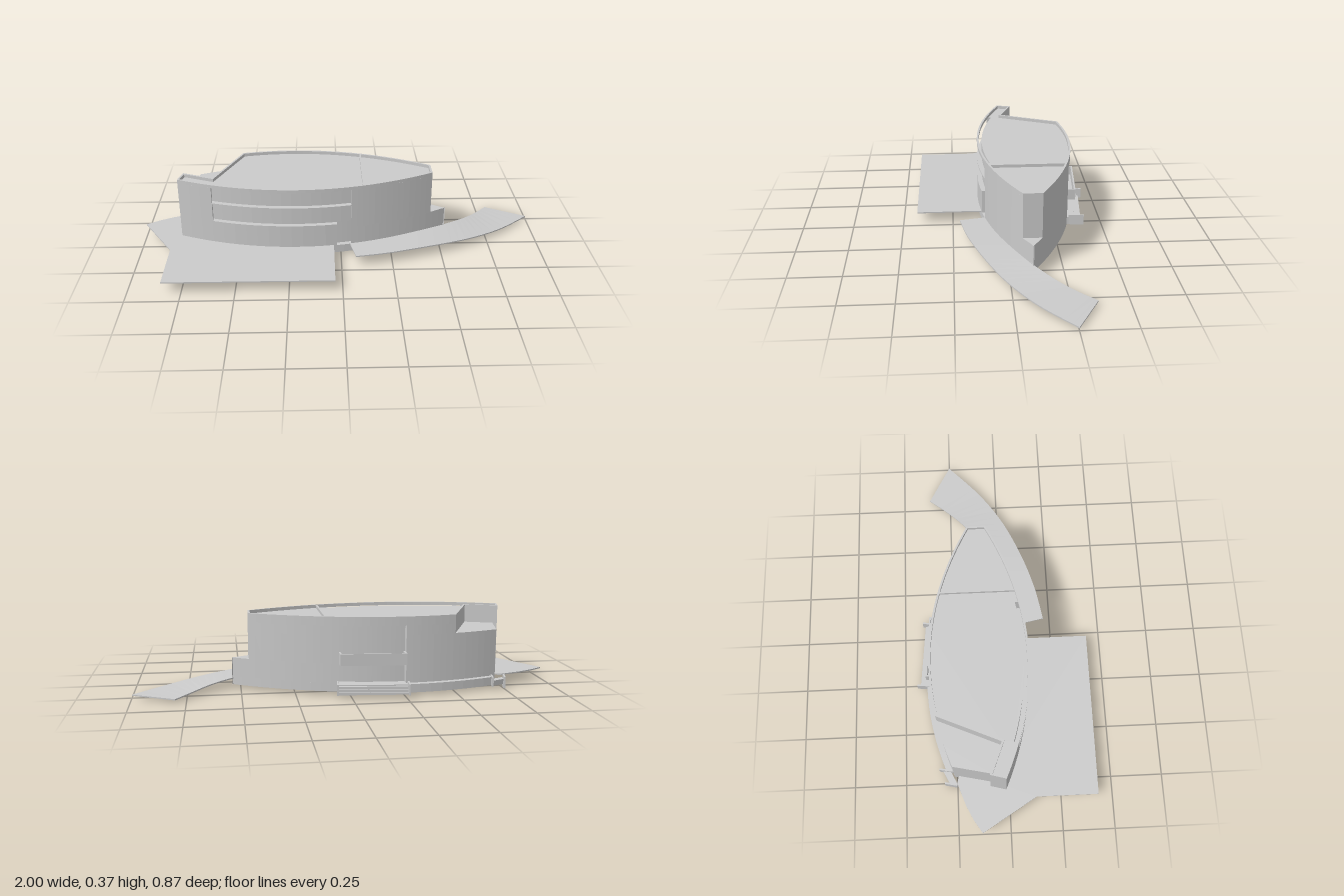
import * as THREE from 'three';

const mat = new THREE.MeshStandardMaterial({ color: 0xcccccc, flatShading: true, side: THREE.DoubleSide });

// Plan curves of the lens-shaped building: z as a function of x
const frontZ = x => 0.118 - 0.395 * (x + 0.22) ** 2;
const backZ = x => -0.358 + 0.415 * (x + 0.24) ** 2;

// Points along a plan curve from x0 to x1, shifted in z
function arc(fn, x0, x1, dz = 0, n = 14) {
  const pts = [];
  for (let i = 0; i <= n; i++) {
    const x = x0 + (x1 - x0) * i / n;
    pts.push([x, fn(x) + dz]);
  }
  return pts;
}

// A plan curve with an optional stretch set back by depth
function recessed(fn, x0, x1, recess, depth, dz) {
  if (!recess) return arc(fn, x0, x1, dz, 28);
  const [a, b] = recess;
  return [...arc(fn, x0, a, dz), ...arc(fn, a, b, dz + depth), ...arc(fn, b, x1, dz)];
}

// Floor outline: low floors fill the rear corner, upper floors leave it open
function outline({ low = false, tipX = 0.46, front, back, inset: t = 0 }) {
  const backEnd = low ? -0.72 : -0.5 + 0.7 * t;
  const corner = low
    ? [[-0.76, -0.08], [-0.78, -0.09]]
    : [[-0.63 + 0.54 * t, -0.03 + 1.29 * t], [-0.78 + 0.66 * t, -0.09 + 1.34 * t]];
  return [
    ...recessed(frontZ, -0.8 + t, tipX - t, front, -0.025, -t),
    ...recessed(backZ, tipX - t, backEnd, back, 0.035, t),
    ...corner,
  ];
}

const toVec = pts => pts.map(([x, z]) => new THREE.Vector2(x, -z));

// Vertical prism over a plan outline
function prism(name, pts, y0, y1, hole) {
  const shape = new THREE.Shape(toVec(pts));
  if (hole) shape.holes.push(new THREE.Path(toVec(hole)));
  const geo = new THREE.ExtrudeGeometry(shape, { depth: y1 - y0, bevelEnabled: false });
  geo.rotateX(-Math.PI / 2).translate(0, y0, 0);
  const mesh = new THREE.Mesh(geo, mat);
  mesh.name = name;
  return mesh;
}

// Thin upright wall between two plan points
function wall(name, [x0, z0], [x1, z1], y0, y1, thick = 0.008) {
  const mesh = new THREE.Mesh(
    new THREE.BoxGeometry(Math.hypot(x1 - x0, z1 - z0), y1 - y0, thick), mat);
  mesh.position.set((x0 + x1) / 2, (y0 + y1) / 2, (z0 + z1) / 2);
  mesh.rotation.y = -Math.atan2(z1 - z0, x1 - x0);
  mesh.name = name;
  return mesh;
}

// Curved ramp swept as a thin rectangular section between two edges
function ramp() {
  const curve = pts => new THREE.SplineCurve(pts.map(p => new THREE.Vector2(...p)));
  const inner = curve([[0.045, 0.09], [0.25, 0.03], [0.46, -0.065], [0.62, -0.17], [0.72, -0.265], [0.8, -0.36]]);
  const outer = curve([[0.07, 0.215], [0.25, 0.18], [0.45, 0.115], [0.65, 0.025], [0.83, -0.095], [1, -0.25]]);
  const n = 24, pos = [], idx = [];
  for (let i = 0; i <= n; i++) {
    const u = i / n, a = inner.getPoint(u), b = outer.getPoint(u);
    const y = 0.057 - 0.041 * THREE.MathUtils.smoothstep(u, 0.25, 1.05);
    pos.push(a.x, y, a.y, b.x, y, b.y, b.x, y - 0.006, b.y, a.x, y - 0.006, a.y);
    if (i === n) continue;
    for (let k = 0; k < 4; k++) {
      const p = i * 4 + k, q = i * 4 + (k + 1) % 4;
      idx.push(p, q, p + 4, q, q + 4, p + 4);
    }
  }
  const e = n * 4;
  idx.push(0, 2, 1, 0, 3, 2, e, e + 1, e + 2, e, e + 2, e + 3);
  const geo = new THREE.BufferGeometry();
  geo.setAttribute('position', new THREE.Float32BufferAttribute(pos, 3));
  geo.setIndex(idx);
  geo.computeVertexNormals();
  const mesh = new THREE.Mesh(geo, mat);
  mesh.name = 'ramp';
  return mesh;
}

export function createModel() {
  const model = new THREE.Group();
  model.name = 'building';

  // Building body, stacked in layers with window, door and balcony recesses
  const door = [-0.02, 0.05], gallery = [-0.63, 0.05], balcony = [0.05, -0.26];
  const body = new THREE.Group();
  body.name = 'body';
  body.add(
    prism('base', outline({ low: true, tipX: 0.54 }), 0.015, 0.055),
    prism('groundFloor', outline({ low: true, tipX: 0.54, front: door, back: balcony }), 0.055, 0.147),
    prism('doorHead', outline({ low: true, front: door, back: balcony }), 0.147, 0.172),
    prism('middleFloor', outline({ low: true, front: gallery, back: balcony }), 0.172, 0.28),
    prism('upperFloor', outline({ front: gallery, back: balcony }), 0.28, 0.325),
    prism('upperWall', outline({ front: gallery }), 0.325, 0.352),
    prism('parapet', outline({}), 0.352, 0.368, outline({ inset: 0.01 })),
    wall('roofDivider', [0.11, frontZ(0.11) - 0.005], [0.11, backZ(0.11) + 0.005], 0.35, 0.367),
  );
  model.add(body);

  // Ledge across the front gallery
  model.add(prism('galleryLedge',
    [...arc(frontZ, -0.63, 0.05), ...arc(frontZ, 0.05, -0.63, -0.03)], 0.264, 0.27));

  // Rear balcony: floor and solid railing
  model.add(prism('balconyFloor',
    [[0.05, -0.36], [0.05, -0.3], [-0.26, -0.32], [-0.26, -0.384]], 0.145, 0.153));
  model.add(wall('balconyRailing', [0.05, -0.357], [-0.26, -0.381], 0.145, 0.2));
  for (const [x, z] of [[0.046, -0.357], [-0.256, -0.381]])
    model.add(wall('balconySide', [x, z], [x, z + 0.05], 0.145, 0.2));

  // Rear walkway and entrance steps with cheek walls
  model.add(prism('rearWalkway',
    [...arc(backZ, -0.7, 0.06, -0.03), ...arc(backZ, 0.06, -0.7, 0.03)], 0.015, 0.055));
  for (let i = 0; i < 3; i++) {
    const d = i * 0.009;
    model.add(prism('rearStep',
      [[0.06, -0.33], [-0.265, -0.36], [-0.265, -0.405 - d], [0.06, -0.375 - d]], 0.015, 0.05 - i * 0.012));
  }
  model.add(wall('stepCheek', [0.058, -0.33], [0.067, -0.405], 0.015, 0.067));
  model.add(wall('stepCheek', [-0.268, -0.375], [-0.262, -0.437], 0.015, 0.067));

  // Small side steps at the rear corner
  model.add(prism('sideStep', [[-0.76, -0.25], [-0.69, -0.285], [-0.69, -0.32], [-0.76, -0.285]], 0.015, 0.04));
  model.add(wall('sideStepCheek', [-0.768, -0.25], [-0.755, -0.31], 0, 0.055));
  model.add(wall('sideStepCheek', [-0.7, -0.27], [-0.688, -0.335], 0.015, 0.06));

  // Front terrace slab wrapping the left end
  model.add(prism('terrace', [
    [-0.035, 0.09], [-0.035, 0.43], [-0.84, 0.428], [-0.84, 0.13], [-1, -0.135],
    [-0.94, -0.175], [-0.87, -0.21], [-0.76, -0.25], [-0.72, -0.24], [-0.74, -0.08],
    [-0.78, -0.02], [-0.6, 0.04], [-0.4, 0.09],
  ], 0.051, 0.057));

  model.add(ramp());
  return model;
}
